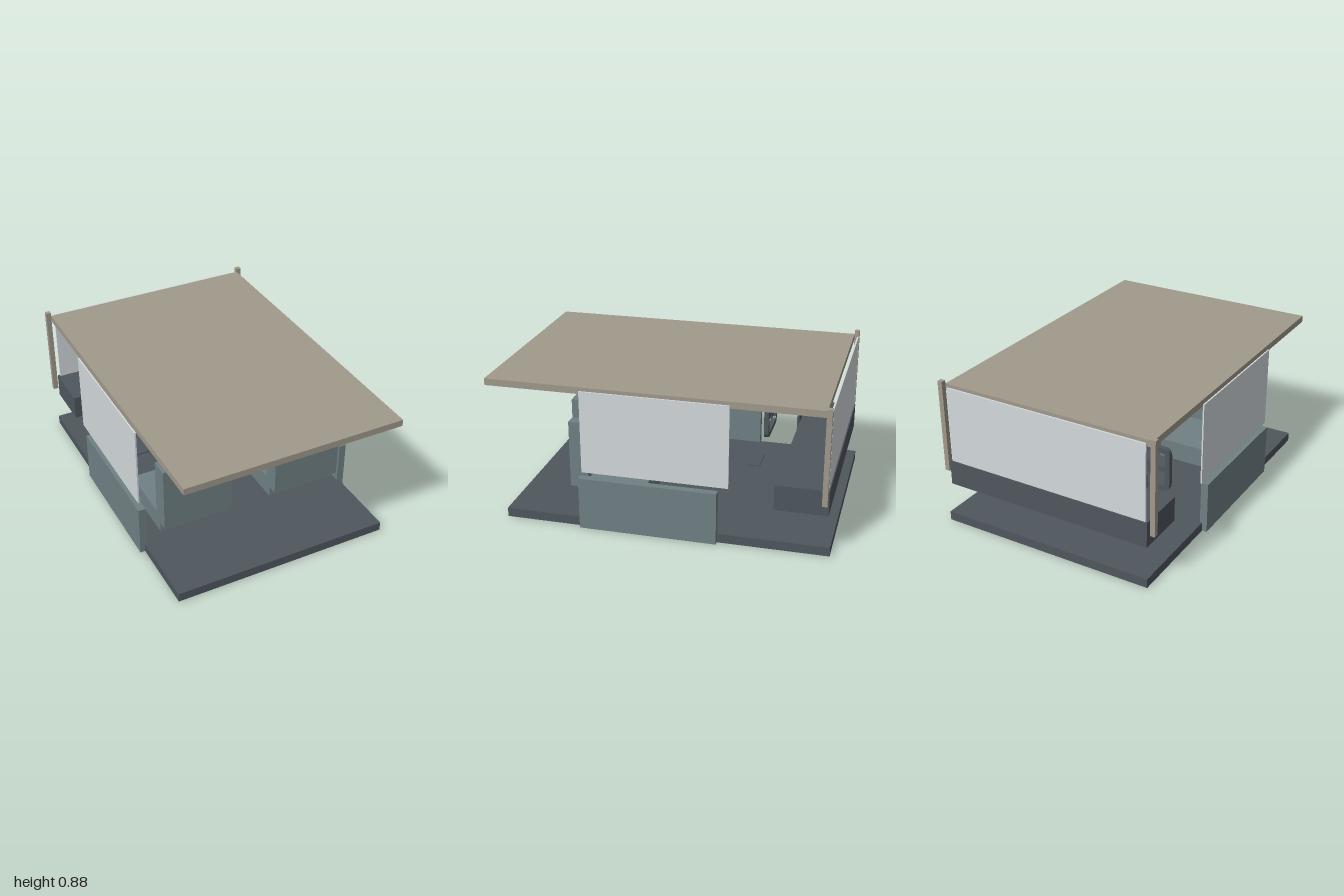
import * as THREE from 'three';

const paint = (color, side = THREE.FrontSide) => new THREE.MeshStandardMaterial({ color, side });

export function createModel() {
  const model = new THREE.Group();
  const tan = paint(0xa19a8c);
  const dark = paint(0x4f575e);
  const teal = paint(0x708084);
  const grey = paint(0x6b7070);
  const glass = paint(0xd3dadd);

  // Box given by its extents along each axis
  function box(name, [x0, x1], [y0, y1], [z0, z1], material, parent = model) {
    const mesh = new THREE.Mesh(new THREE.BoxGeometry(x1 - x0, y1 - y0, z1 - z0), material);
    mesh.position.set((x0 + x1) / 2, (y0 + y1) / 2, (z0 + z1) / 2);
    mesh.name = name;
    parent.add(mesh);
    return mesh;
  }

  // Rounded rectangle outline, used for the steering wheel rim
  function roundedRect(path, w, h, r) {
    const x = w / 2, y = h / 2;
    path.moveTo(-x + r, -y);
    path.lineTo(x - r, -y);
    path.quadraticCurveTo(x, -y, x, -y + r);
    path.lineTo(x, y - r);
    path.quadraticCurveTo(x, y, x - r, y);
    path.lineTo(-x + r, y);
    path.quadraticCurveTo(-x, y, -x, y - r);
    path.lineTo(-x, -y + r);
    path.quadraticCurveTo(-x, -y, -x + r, -y);
    return path;
  }

  // Shell: floor, roof, dashboard and windscreen
  box('floor', [-0.665, 0.665], [0, 0.055], [-1, 0.91], dark);
  box('roof', [-0.665, 0.665], [0.825, 0.865], [-0.945, 1], tan);
  box('dashboard', [-0.65, 0.65], [0.24, 0.392], [-0.98, -0.675], dark);
  box('windscreen', [-0.637, 0.637], [0.385, 0.855], [-0.973, -0.963], glass);

  // Doors, side windows and windscreen posts, mirrored
  for (const [label, s] of [['left', 1], ['right', -1]]) {
    const span = (a, b) => (s > 0 ? [a, b] : [-b, -a]);
    box(label + 'Door', span(0.65, 0.695), [0.001, 0.317], [-0.36, 0.45], teal);
    box(label + 'Window', span(0.677, 0.686), [0.355, 0.848], [-0.425, 0.43], glass);
    box(label + 'Post', span(0.665, 0.695), [0.317, 0.885], [-0.975, -0.945], tan);
  }

  // Two seats
  for (const [label, x] of [['passenger', 0.36], ['driver', -0.36]]) {
    const seat = new THREE.Group();
    seat.name = label + 'Seat';
    seat.position.x = x;
    box('cushion', [-0.215, 0.215], [0.14, 0.26], [0.08, 0.48], teal, seat);
    box('backrest', [-0.215, 0.215], [0.205, 0.61], [0.43, 0.54], teal, seat);
    box('headrest', [-0.143, 0.143], [0.61, 0.72], [0.43, 0.54], teal, seat);
    box('pedestal', [-0.045, 0.045], [0.03, 0.14], [0.235, 0.325], grey, seat);
    model.add(seat);
  }

  // Steering wheel: rounded rim with crossbar and hub
  const wheel = new THREE.Group();
  wheel.name = 'steeringWheel';
  wheel.position.set(-0.36, 0.415, -0.475);
  const rimShape = roundedRect(new THREE.Shape(), 0.31, 0.27, 0.045);
  rimShape.holes.push(roundedRect(new THREE.Path(), 0.25, 0.21, 0.025));
  const rimGeometry = new THREE.ExtrudeGeometry(rimShape, { depth: 0.03, bevelEnabled: false, curveSegments: 4 });
  rimGeometry.translate(0, 0, -0.015);
  const rim = new THREE.Mesh(rimGeometry, dark);
  rim.name = 'rim';
  wheel.add(rim);
  box('crossbar', [-0.126, 0.126], [-0.015, 0.015], [-0.01, 0.01], dark, wheel);
  box('hub', [-0.045, 0.045], [-0.04, 0.04], [-0.014, 0.014], dark, wheel);
  model.add(wheel);

  // Instruments and controls
  box('instrumentPanel', [-0.47, -0.25], [0.32, 0.475], [-0.675, -0.66], dark);
  box('instrumentKnob', [-0.37, -0.35], [0.4, 0.415], [-0.662, -0.65], dark);
  box('pedalPlate', [-0.46, -0.26], [0.05, 0.063], [-0.43, -0.35], dark);
  box('gearStick', [-0.01, 0.01], [0.05, 0.26], [-0.2, -0.18], dark);
  box('gearKnob', [-0.025, 0.025], [0.255, 0.305], [-0.215, -0.165], dark);
  box('handbrake', [0.064, 0.095], [0.1, 0.135], [-0.06, 0.14], dark);

  return model;
}
